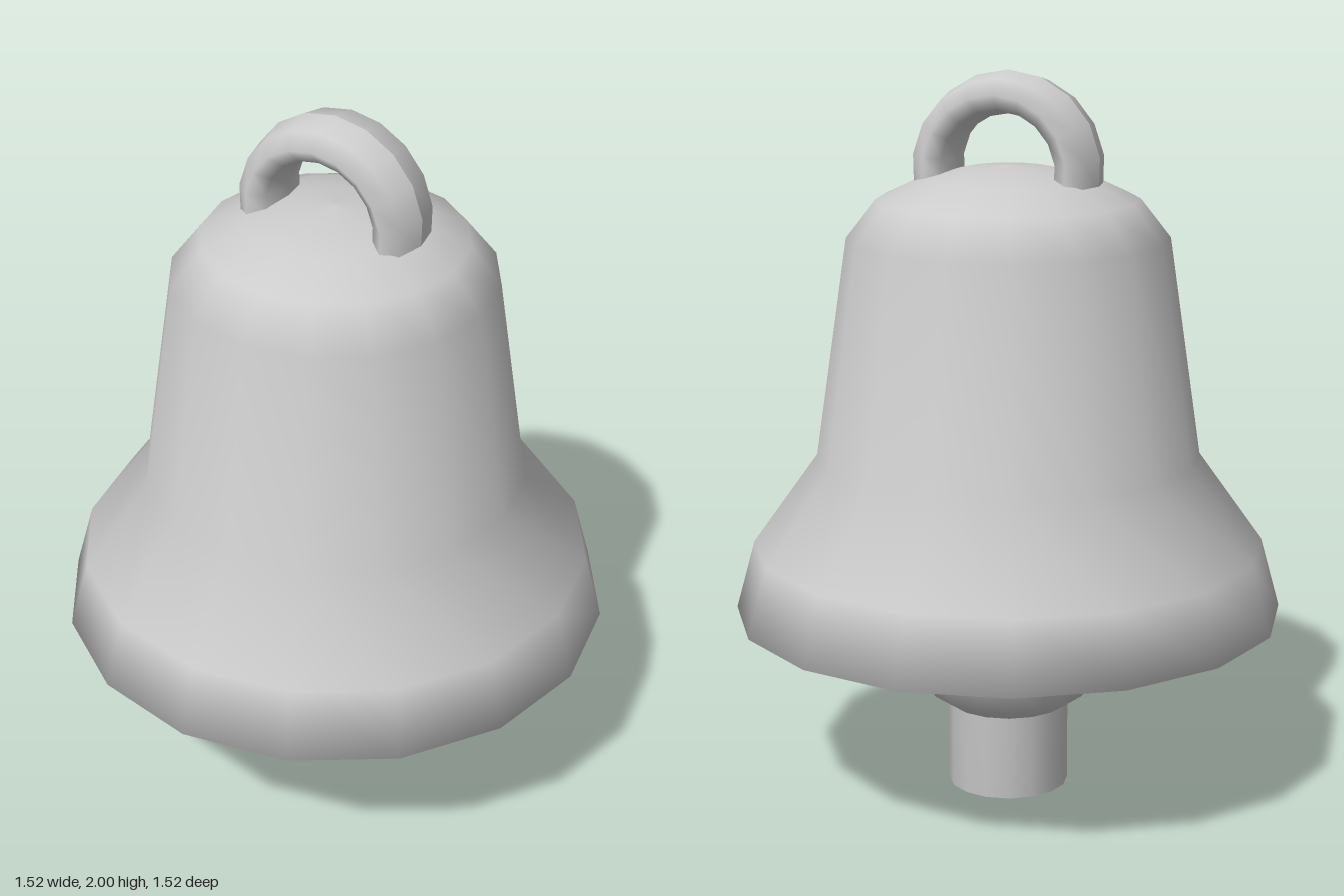
import * as THREE from 'three';

const SIDES = 16;
const material = new THREE.MeshStandardMaterial({ color: 0xcccccc });

function addPart(group, name, geometry, y = 0) {
  const mesh = new THREE.Mesh(geometry, material);
  mesh.name = name;
  mesh.position.y = y;
  group.add(mesh);
}

// Turned shape from [radius, height] pairs
function turned(points) {
  return new THREE.LatheGeometry(points.map(([r, y]) => new THREE.Vector2(r, y)), SIDES);
}

export function createModel() {
  const bell = new THREE.Group();
  bell.name = 'bell';

  // Hollow bell: down the inside, across the thick lip, up the outside
  addPart(bell, 'bellBody', turned([
    [0, 1.65], [0.2, 1.62], [0.35, 1.5], [0.43, 0.93], [0.57, 0.7], [0.62, 0.515],
    [0.758, 0.51], [0.706, 0.7], [0.527, 0.95], [0.439, 1.55], [0.357, 1.655],
    [0.235, 1.712], [0.12, 1.738], [0, 1.748],
  ]));

  // Hanging loop: an arc slightly past a half circle, widened front to back
  const overhang = 0.2;
  const loop = new THREE.TorusGeometry(0.205, 0.058, 8, 10, Math.PI + 2 * overhang);
  loop.rotateZ(-overhang);
  loop.scale(1, 1, 1.95);
  loop.computeVertexNormals();
  addPart(bell, 'hangingLoop', loop, 1.737);

  // Clapper: a softly shaded rod from the crown through the ball
  const clapper = new THREE.Group();
  clapper.name = 'clapper';
  bell.add(clapper);
  addPart(clapper, 'clapperRod', turned([[0, 0], [0.167, 0], [0.167, 1.66]]));
  addPart(clapper, 'clapperBall', new THREE.SphereGeometry(0.312, SIDES, 8), 0.492);

  return bell;
}
